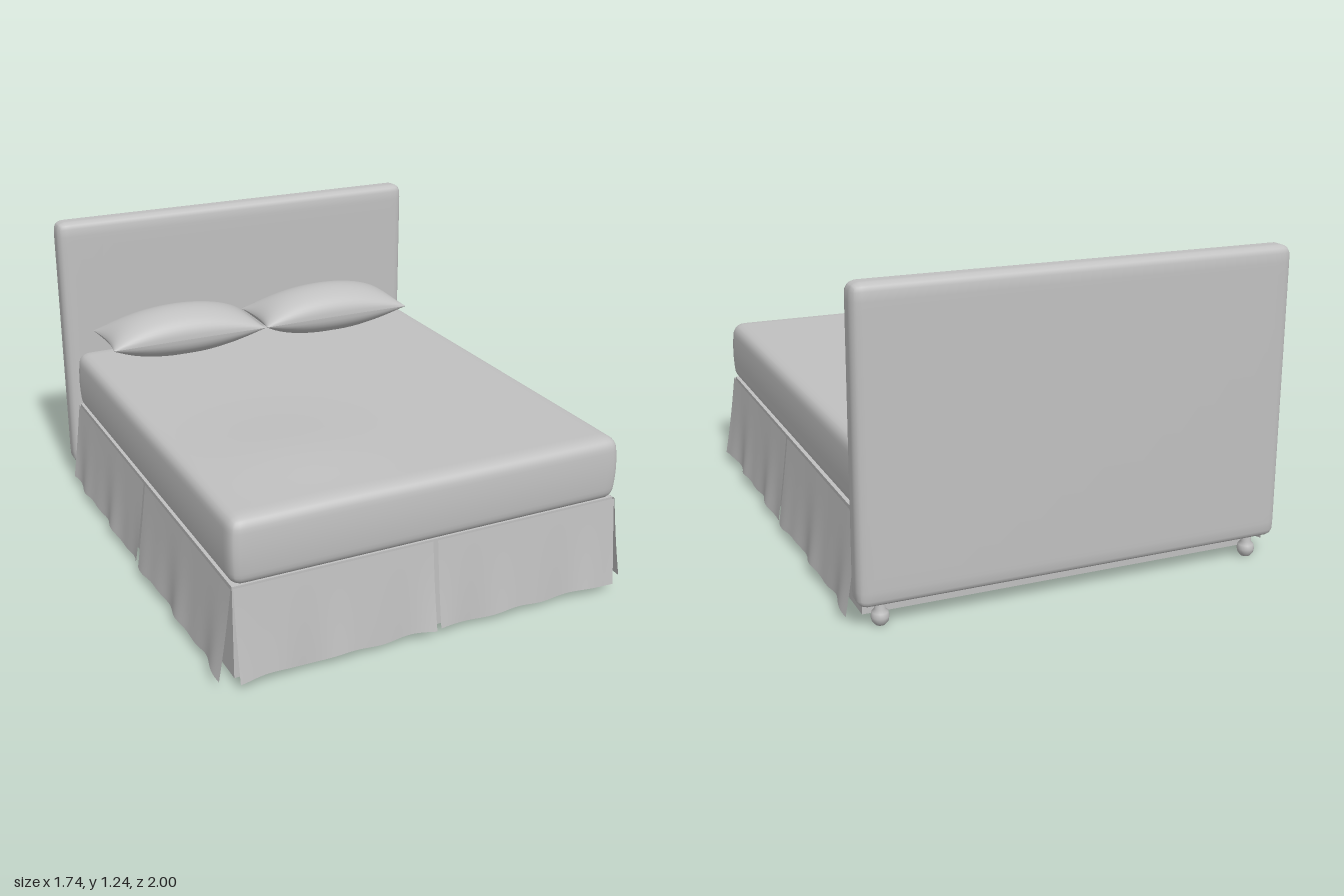
import * as THREE from 'three';
import { mergeGeometries, mergeVertices } from 'three/addons/utils/BufferGeometryUtils.js';

// Weld the vertices and smooth the normals
function smooth(geo) {
  geo.deleteAttribute('uv');
  geo.deleteAttribute('normal');
  const out = mergeVertices(geo, 1e-5);
  out.computeVertexNormals();
  return out;
}

// Move every vertex by a rule
function deform(geo, rule) {
  const pos = geo.attributes.position;
  const v = new THREE.Vector3();
  for (let i = 0; i < pos.count; i++) {
    rule(v.fromBufferAttribute(pos, i));
    pos.setXYZ(i, v.x, v.y, v.z);
  }
  return geo;
}

// Upholstered box: rounded edges, with finer rows towards the edges
function softBox(w, h, d, r, puff = () => {}) {
  const half = new THREE.Vector3(w / 2, h / 2, d / 2);
  const inner = half.clone().subScalar(r);
  const low = inner.clone().negate();
  const core = new THREE.Vector3();
  const geo = new THREE.BoxGeometry(2, 2, 2, 32, 20, 32);
  return smooth(deform(geo, v => {
    v.set(Math.sin(v.x * Math.PI / 2), Math.sin(v.y * Math.PI / 2), Math.sin(v.z * Math.PI / 2)).multiply(half);
    core.copy(v).clamp(low, inner);
    v.sub(core).setLength(r).add(core);
    puff(v);
  }));
}

// Pillow: two domed sheets that meet in a pinched seam
function pillowGeometry(w, d, up, down) {
  const sheet = side => {
    const geo = new THREE.PlaneGeometry(2, 2, 32, 24).rotateX(-side * Math.PI / 2);
    return smooth(deform(geo, v => {
      const u = Math.sin(v.x * Math.PI / 2), t = Math.sin(v.z * Math.PI / 2);
      const dome = Math.pow(Math.max(0, 1 - u * u), 0.62) * Math.pow(Math.max(0, 1 - t * t), 0.45);
      const height = side > 0 ? up * dome : -down * Math.min(1, dome * 1.25);
      v.set(u * w / 2 * (1 - 0.05 * (1 - t * t) * u * u), height, t * d / 2 * (1 - 0.03 * (1 - u * u)));
    }));
  };
  return mergeGeometries([sheet(1), sheet(-1)]);
}

// Skirt panel hanging in the XY plane, flaring and rippling towards its hem
function skirtGeometry(width, height, flare, ripple, phase) {
  const geo = new THREE.PlaneGeometry(width, height, 48, 10);
  return smooth(deform(geo, v => {
    const fall = 0.5 - v.y / height;
    const edge = Math.pow(Math.abs(v.x) / (width / 2), 6);
    const wave = Math.sin(v.x * 17 + phase) + 0.5 * Math.sin(v.x * 31 + phase * 2);
    v.z = fall * flare + fall * fall * (ripple * wave + edge * 0.008);
    v.y += fall * fall * 0.006 * (1 + Math.sin(v.x * 21 + phase));
  }));
}

export function createModel() {
  const bed = new THREE.Group();
  bed.name = 'bed';
  const fabric = new THREE.MeshStandardMaterial({ color: 0xc0c0c0 });
  fabric.name = 'grey fabric';
  fabric.side = THREE.DoubleSide;

  const add = (name, geo, x, y, z) => {
    const mesh = new THREE.Mesh(geo, fabric);
    mesh.name = name;
    mesh.position.set(x, y, z);
    bed.add(mesh);
    return mesh;
  };

  // Headboard and its ball feet
  add('headboard', softBox(1.70, 1.15, 0.11, 0.04), 0, 0.665, -0.945);
  for (const s of [-1, 1]) {
    const foot = new THREE.LatheGeometry([
      [0, 0], [0.018, 0.004], [0.03, 0.018], [0.034, 0.035], [0.03, 0.052], [0.02, 0.064], [0.02, 0.1]
    ].map(p => new THREE.Vector2(...p)), 20);
    add('headboardFoot', foot, s * 0.755, 0, -0.94);
  }

  // Base under the mattress
  add('boxBase', new THREE.BoxGeometry(1.61, 0.37, 1.83), 0, 0.21, 0.025);

  // Mattress with slightly bulging sides and a soft rise on top
  add('mattress', softBox(1.61, 0.265, 1.83, 0.045, v => {
    const bulge = 1 + 0.012 * (1 - Math.pow(v.y / 0.1325, 2));
    v.x *= bulge;
    v.z *= bulge;
    if (v.y > 0.08) {
      v.y += 0.02 * Math.exp(-Math.pow((v.x + 0.38) / 0.3, 2) - Math.pow((v.z - 0.5) / 0.3, 2));
    }
  }), 0, 0.522, 0.037);

  // Pair of pillows
  for (const s of [-1, 1]) {
    add('pillow', pillowGeometry(0.715, 0.305, 0.115, 0.085), s * 0.36 - 0.01, 0.74, -0.73);
  }

  // Skirt: two panels on the foot end and two along each side
  const top = 0.39, hem = 0.027, mid = (top + hem) / 2, drop = top - hem;
  [-0.405, 0.41].forEach((x, i) => {
    add('frontSkirt', skirtGeometry(0.795, drop, 0.035, 0.006, 1 + i * 2), x, mid, 0.947);
  });
  for (const s of [-1, 1]) {
    [-0.437, 0.49].forEach((z, i) => {
      const panel = add('sideSkirt', skirtGeometry(0.91, drop, 0.042, 0.008, i * 2 + s), s * 0.812, mid, z);
      panel.rotation.y = s * Math.PI / 2;
    });
  }
  return bed;
}
